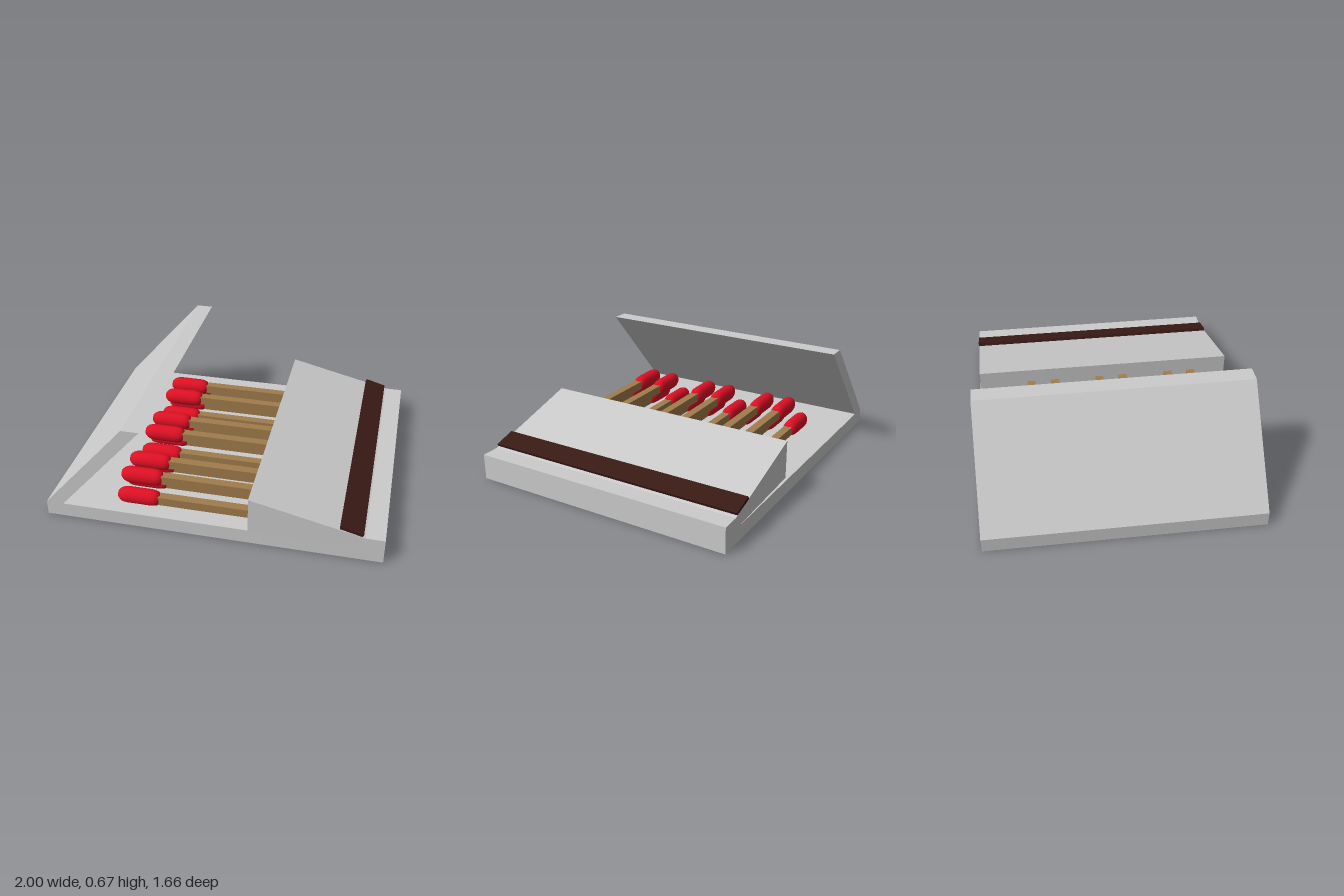
import * as THREE from 'three';

const Z_BACK = -0.83, Z_FRONT = 0.81;

const paint = (color) => new THREE.MeshStandardMaterial({ color });

// Extrudes an outline in the xy plane across the width of the folder
function slab(points) {
  const shape = new THREE.Shape(points.map(([x, y]) => new THREE.Vector2(x, y)));
  const geo = new THREE.ExtrudeGeometry(shape, { depth: Z_FRONT - Z_BACK, bevelEnabled: false });
  return geo.translate(0, 0, Z_BACK);
}

function addMesh(parent, name, geometry, material) {
  const mesh = new THREE.Mesh(geometry, material);
  mesh.name = name;
  parent.add(mesh);
  return mesh;
}

export function createModel() {
  const model = new THREE.Group();
  model.name = 'matchbook';
  const card = paint(0xcccccc);
  const wood = paint(0xa07c4c);
  const red = paint(0xe01024);
  const dark = paint(0x3a1a15);

  // Folder: base, raised lip and half-open lid in one outline
  addMesh(model, 'cover', slab([
    [-1, 0], [1, 0], [1, 0.157], [0.89, 0.157], [0.83, 0.09],
    [-0.895, 0.09], [-0.385, 0.67], [-0.49, 0.67], [-1, 0.09],
  ]), card);

  // Sloping flap holding the matches, slightly skewed towards the front
  const flap = slab([[0.23, 0.09], [0.83, 0.09], [0.89, 0.157], [0.23, 0.326]]);
  const pos = flap.attributes.position;
  for (let i = 0; i < pos.count; i++) {
    pos.setZ(i, pos.getZ(i) + 0.018 * (0.89 - pos.getX(i)) / 0.66);
  }
  flap.computeVertexNormals();
  addMesh(model, 'flap', flap, card);

  // Striking strip
  addMesh(model, 'strikingStrip', slab([
    [0.744, 0.198], [0.873, 0.164], [0.88, 0.18], [0.751, 0.217],
  ]), dark);

  // Match head: blunt where the stick enters, round at the tip
  const profile = [
    [0, 0], [0.028, 0], [0.044, 0.01], [0.052, 0.03], [0.055, 0.06], [0.055, 0.19],
    [0.051, 0.217], [0.042, 0.238], [0.026, 0.254], [0, 0.26],
  ].map(([r, y]) => new THREE.Vector2(r, y));
  const headGeo = new THREE.LatheGeometry(profile, 16).rotateZ(Math.PI / 2).scale(1, 1, 0.85);
  const stickGeo = new THREE.BoxGeometry(0.94, 0.054, 0.052);

  // Three bundles of five matches, alternating between two layers
  for (const start of [-0.572, -0.117, 0.347]) {
    [0, 0.092, 0.165, 0.25, 0.331].forEach((offset, i) => {
      const upper = i % 2 === 1;
      const match = new THREE.Group();
      match.name = upper ? 'upperMatch' : 'lowerMatch';
      match.position.set(0, upper ? 0.211 : 0.119, start + offset);
      addMesh(match, 'stick', stickGeo, wood).position.x = 0.07;
      addMesh(match, 'head', headGeo, red).position.x = -0.334;
      model.add(match);
    });
  }
  return model;
}
